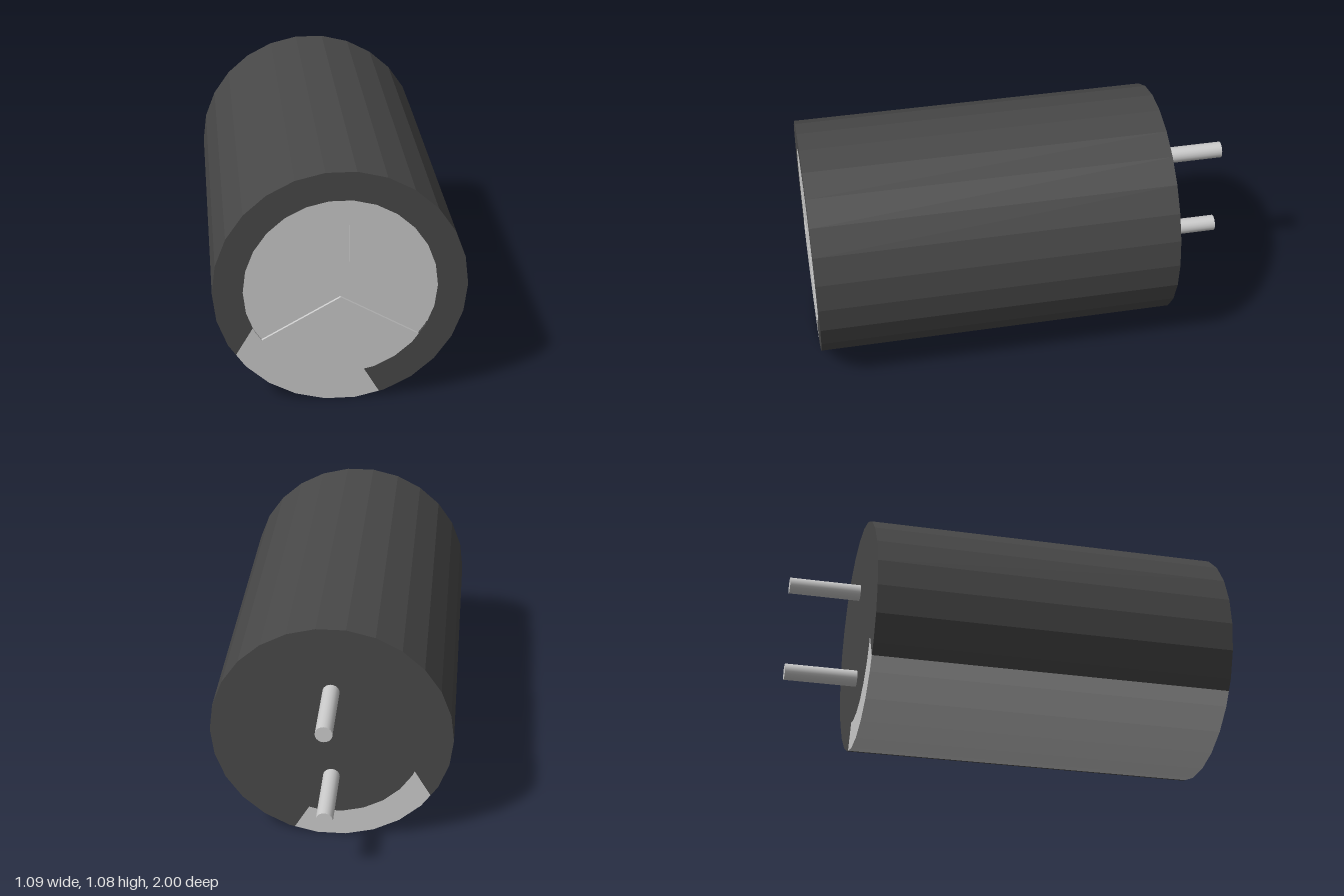
import * as THREE from 'three';

const SIDES = 26, STEP = (Math.PI * 2) / SIDES;
const R = 0.545, RI = 0.415, CY = 0.545;
const BACK = -0.665, FRONT = 1, GROOVE = 0.035, DEPTH = 0.012;
const rad = THREE.MathUtils.degToRad;

const light = new THREE.MeshStandardMaterial({ color: 0xcccccc, flatShading: true });
const dark = new THREE.MeshStandardMaterial({ color: 0x484848, flatShading: true });
const metal = new THREE.MeshStandardMaterial({ color: 0xcccccc });

// points along a regular polygon's outline between two angles
function arc(r, a0, a1) {
  const at = (a) => {
    const m = a - Math.floor(a / STEP) * STEP - STEP / 2;
    const d = (r * Math.cos(STEP / 2)) / Math.cos(m);
    return new THREE.Vector2(Math.cos(a) * d, Math.sin(a) * d);
  };
  const pts = [at(a0)];
  for (let i = Math.floor(a0 / STEP) + 1; i * STEP < a1 - 1e-4; i++) pts.push(at(i * STEP));
  pts.push(at(a1));
  return pts;
}

function extrude(name, pts, z0, z1, material) {
  const geo = new THREE.ExtrudeGeometry(new THREE.Shape(pts), { depth: z1 - z0, bevelEnabled: false });
  const mesh = new THREE.Mesh(geo, material);
  mesh.name = name;
  mesh.position.set(0, CY, z0);
  return mesh;
}

function rod(name, r, sides, y, z0, z1, material) {
  const geo = new THREE.CylinderGeometry(r, r, z1 - z0, sides);
  geo.rotateY(Math.PI / 2).rotateX(Math.PI / 2);
  const mesh = new THREE.Mesh(geo, material);
  mesh.name = name;
  mesh.position.set(0, y, (z0 + z1) / 2);
  return mesh;
}

// section of the sleeve with separate outer and inner end angles
function sleeve(name, o0, o1, i0, i1, material) {
  const pts = [...arc(R, rad(o0), rad(o1)), ...arc(RI, rad(i0), rad(i1)).reverse()];
  return extrude(name, pts, BACK, FRONT, material);
}

export function createModel() {
  const group = new THREE.Group();
  group.name = 'capacitor';

  // dark sleeve and its pale polarity stripe
  group.add(sleeve('sleeve', -71.7, 213.8, -75.5, 204.7, dark));
  group.add(sleeve('polarityStripe', 213.8, 288.3, 204.7, 284.5, light));

  // inner can: dark base at the back, metal core up to the groove floor
  group.add(rod('base', RI, SIDES, CY, BACK, BACK + 0.05, dark));
  group.add(rod('can', RI, SIDES, CY, BACK + 0.05, FRONT - DEPTH, light));

  // three raised sectors that leave a Y-shaped vent groove
  const inset = Math.asin(GROOVE / RI), apex = GROOVE / Math.sin(Math.PI / 3);
  for (const deg of [30, 150, 270]) {
    const a = rad(deg);
    const pts = arc(RI, a - Math.PI / 3 + inset, a + Math.PI / 3 - inset);
    pts.push(new THREE.Vector2(Math.cos(a) * apex, Math.sin(a) * apex));
    group.add(extrude('ventSector', pts, FRONT - DEPTH, FRONT, light));
  }

  // terminal pins
  for (const y of [0.772, 0.325]) group.add(rod('pin', 0.038, 20, y, -1, BACK + 0.02, metal));

  return group;
}
